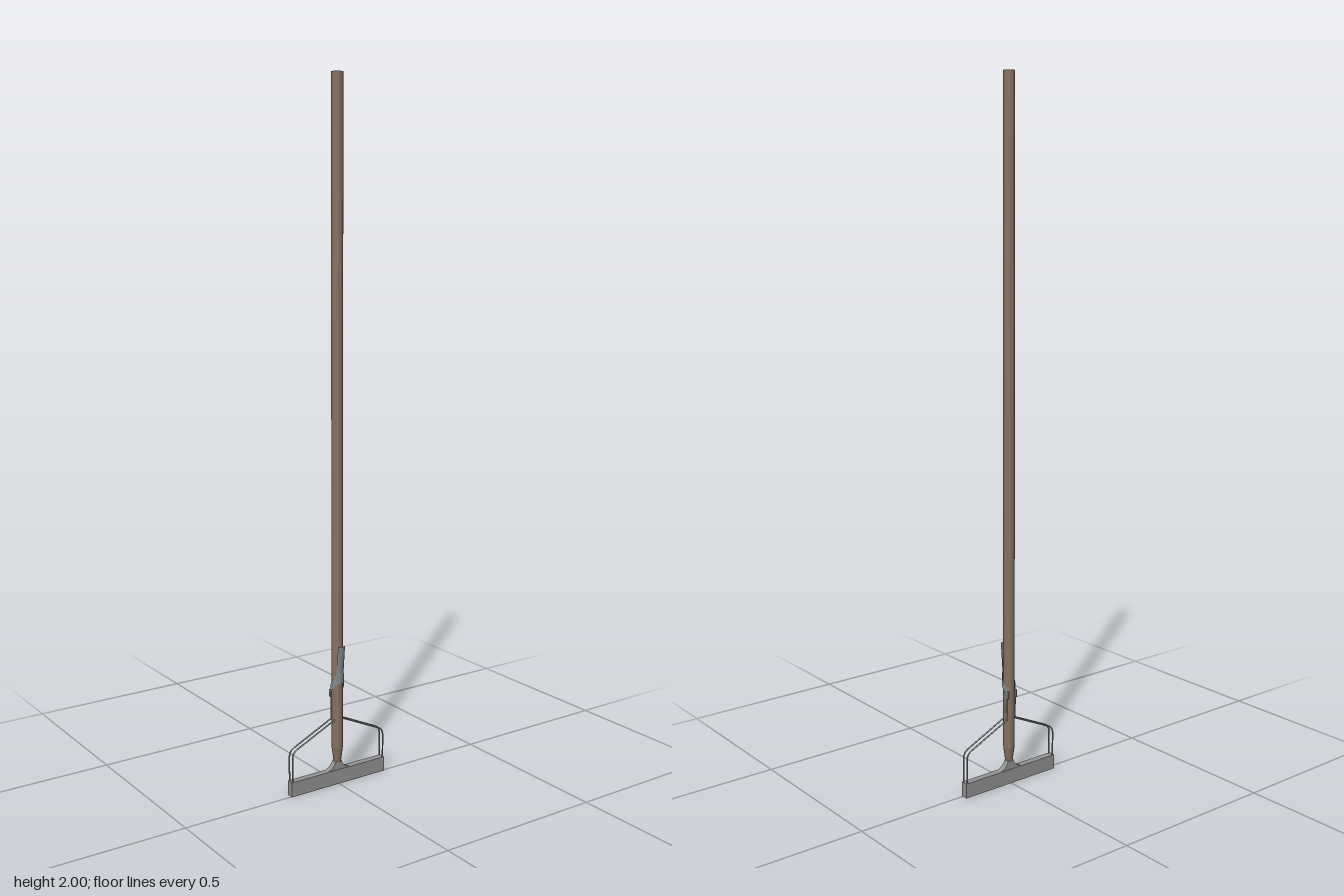
import * as THREE from 'three';

const wood = new THREE.MeshStandardMaterial({ color: 0x87705e });
wood.name = 'wood';
const grey = new THREE.MeshStandardMaterial({ color: 0x929292 });
grey.name = 'grey metal';
const steel = new THREE.MeshStandardMaterial({ color: 0x85878a, side: THREE.DoubleSide });
steel.name = 'steel';

const POLE_Z = -0.006;
const V = (x, y, z) => new THREE.Vector3(x, y, z);

export function createModel() {
  const model = new THREE.Group();
  const add = (name, geometry, material) => {
    const mesh = new THREE.Mesh(geometry, material);
    mesh.name = name;
    model.add(mesh);
    return mesh;
  };
  // Round rod along straight runs with small rounded bends
  const rod = (name, points, radius, material) => {
    const path = new THREE.CurvePath();
    let from = points[0];
    for (let i = 1; i < points.length - 1; i++) {
      const p = points[i];
      const bend = 0.018;
      const a = p.clone().add(from.clone().sub(p).setLength(bend));
      const b = p.clone().add(points[i + 1].clone().sub(p).setLength(bend));
      path.add(new THREE.LineCurve3(from, a));
      path.add(new THREE.QuadraticBezierCurve3(a, p, b));
      from = b;
    }
    path.add(new THREE.LineCurve3(from, points[points.length - 1]));
    return add(name, new THREE.TubeGeometry(path, 48, radius, 8), material);
  };
  // Move each vertex of a geometry by a rule
  const reshape = (geometry, rule) => {
    const pos = geometry.attributes.position;
    const p = V(0, 0, 0);
    for (let i = 0; i < pos.count; i++) {
      rule(p.fromBufferAttribute(pos, i));
      pos.setXYZ(i, p.x, p.y, p.z);
    }
    geometry.computeVertexNormals();
    return geometry;
  };

  // Long handle, tapered at its foot
  const shaft = new THREE.CylinderGeometry(0.0165, 0.0165, 1.89, 24);
  add('handle', shaft, wood).position.set(0, 1.055, POLE_Z);
  const foot = new THREE.CylinderGeometry(0.0165, 0.0105, 0.045, 24);
  add('handleFoot', foot, wood).position.set(0, 0.0875, POLE_Z);

  // Head: long bar with flared neck
  add('headBar', new THREE.BoxGeometry(0.325, 0.043, 0.021), grey).position.set(0, 0.0215, -0.007);
  const flare = new THREE.Shape();
  flare.moveTo(-0.04, 0.042);
  flare.lineTo(0.04, 0.042);
  flare.quadraticCurveTo(0.015, 0.05, 0.01, 0.068);
  flare.lineTo(-0.01, 0.068);
  flare.quadraticCurveTo(-0.015, 0.05, -0.04, 0.042);
  const neck = new THREE.ExtrudeGeometry(flare, { depth: 0.018, bevelEnabled: false });
  add('neck', neck, grey).position.z = -0.016;

  // Pair of thin wire yokes, front and back
  for (const z of [-0.0155, 0.001]) {
    for (const s of [-1, 1]) {
      rod('yokeWire', [V(0, 0.203, z), V(s * 0.158, 0.13, z), V(s * 0.158, 0.04, z)], 0.0022, grey);
    }
  }

  // Thumb lever: curved plate leaning away from the handle
  const lever = reshape(
    new THREE.CylinderGeometry(0.0175, 0.0175, 0.1, 10, 4, true, -0.75, 1.5),
    (p) => { p.z += 0.009 * (p.y + 0.05) / 0.1; },
  );
  add('lever', lever, steel).position.set(0, 0.368, POLE_Z);

  // Slanted collar hugging the handle, high in front and low behind
  const collar = reshape(
    new THREE.CylinderGeometry(0.0195, 0.0195, 0.034, 24, 1, true, -2.5, 5),
    (p) => { p.y = p.y * (0.8 + 12 * Math.max(p.z, 0)) + p.z * 1.4; },
  );
  add('leverCollar', collar, steel).position.set(0, 0.297, POLE_Z);

  // Hinge lugs behind the handle and their pull rods
  for (const s of [-1, 1]) {
    add('hingeLug', new THREE.BoxGeometry(0.005, 0.022, 0.007), steel)
      .position.set(s * 0.0145, 0.272, -0.019);
    rod('pullRod', [V(s * 0.0155, 0.268, -0.0155), V(s * 0.0145, 0.196, -0.0155)], 0.002, grey);
  }

  return model;
}
